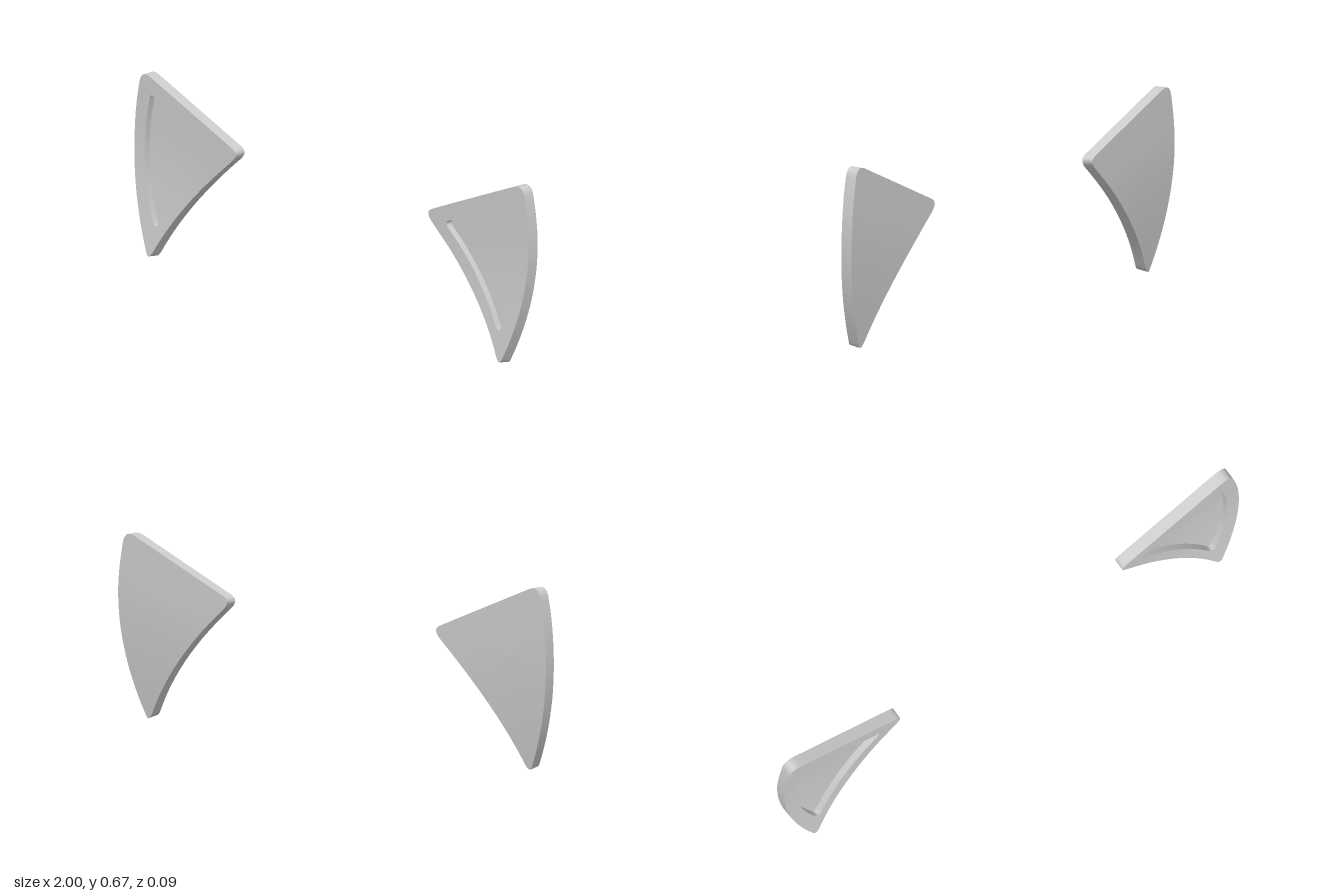
import * as THREE from 'three';
import { mergeGeometries } from 'three/addons/utils/BufferGeometryUtils.js';

const THICK = 0.045, RECESS = 0.025, CENTRE = [0.83, 0.42];

// Each loop: start, then (control, end) pairs - three curved edges and three rounded corners
const RIM = [[0.978, 0.63],
  [1.045, 0.32], [0.905, 0.02], [0.893, -0.016], [0.87, 0.025],
  [0.76, 0.228], [0.51, 0.44], [0.465, 0.478], [0.515, 0.495],
  [0.72, 0.582], [0.925, 0.668], [0.97, 0.685], [0.978, 0.63]];
const HOLE = [[0.925, 0.585],
  [0.984, 0.34], [0.887, 0.137], [0.87, 0.1], [0.85, 0.137],
  [0.755, 0.299], [0.592, 0.437], [0.565, 0.46], [0.605, 0.471],
  [0.755, 0.534], [0.905, 0.597], [0.922, 0.604], [0.925, 0.585]];

function sampleLoop(def) {
  const points = [];
  for (let i = 0; i + 2 < def.length; i += 2) {
    const curve = new THREE.QuadraticBezierCurve(
      ...[0, 1, 2].map((k) => new THREE.Vector2(...def[i + k])));
    const steps = i % 4 === 0 ? 20 : 8;
    for (let s = 0; s < steps; s++) points.push(curve.getPoint(s / steps));
  }
  return points;
}

// Bends the plate forward towards its lower tip; d is the height above the back face
function bend(x, y, d, side) {
  const t = Math.max(0, 1 - (y - 0.27 * (x - 0.89)) / 0.48);
  const lift = 0.042 * t ** 1.7;
  const slope = (0.042 * 1.7 / 0.48) * t ** 0.7;
  return [side * (x - 0.27 * slope * d), y + slope * d, lift + d - 0.043];
}

// Smooth surface through a row of loops, each given as { points, scale, d }
function skin(loops, side) {
  const n = loops[0].points.length, positions = [], index = [];
  for (const { points, scale, d } of loops) {
    for (const p of points) {
      const x = CENTRE[0] + (p.x - CENTRE[0]) * scale;
      const y = CENTRE[1] + (p.y - CENTRE[1]) * scale;
      positions.push(...bend(x, y, d, side));
    }
  }
  const tri = (a, b, c) => index.push(...(side > 0 ? [a, b, c] : [a, c, b]));
  for (let r = 0; r + 1 < loops.length; r++) {
    for (let i = 0; i < n; i++) {
      const j = (i + 1) % n, a = r * n, b = a + n;
      tri(a + i, b + i, a + j);
      tri(b + i, b + j, a + j);
    }
  }
  const geometry = new THREE.BufferGeometry();
  geometry.setAttribute('position', new THREE.Float32BufferAttribute(positions, 3));
  geometry.setIndex(index);
  geometry.computeVertexNormals();
  return geometry;
}

function plateGeometry(side) {
  const rim = sampleLoop(RIM), hole = sampleLoop(HOLE);
  const loop = (points, d, scale = 1) => ({ points, d, scale });
  const rings = [0.005, 0.2, 0.4, 0.6, 0.8, 1];
  const floor = THICK - RECESS;
  return mergeGeometries([
    skin(rings.map((s) => loop(rim, 0, s)), side),                      // back
    skin([loop(rim, 0), loop(rim, THICK)], side),                       // outer wall
    skin([loop(rim, THICK), loop(hole, THICK)], side),                  // front frame
    skin([loop(hole, THICK), loop(hole, floor)], side),                 // recess wall
    skin([...rings].reverse().map((s) => loop(hole, floor, s)), side),  // recess floor
  ]);
}

export function createModel() {
  const model = new THREE.Group();
  model.name = 'plates';
  const material = new THREE.MeshStandardMaterial({ color: 0xcccccc });
  for (const [name, side] of [['leftPlate', 1], ['rightPlate', -1]]) {
    const plate = new THREE.Mesh(plateGeometry(side), material);
    plate.name = name;
    model.add(plate);
  }
  return model;
}
